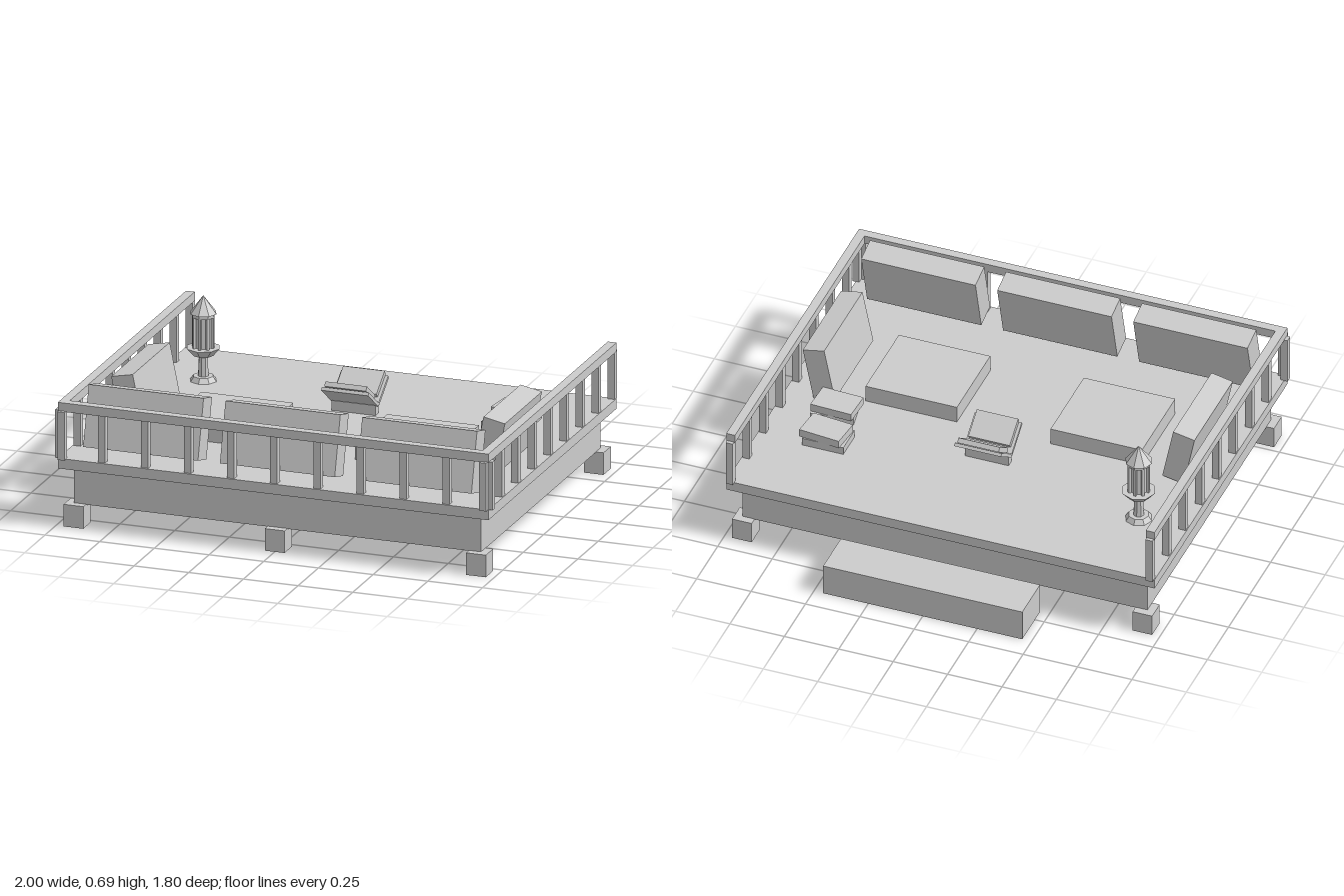
import * as THREE from 'three';

export function createModel() {
  const model = new THREE.Group();
  const grey = new THREE.MeshStandardMaterial({ color: 0xcccccc });
  grey.name = 'plain grey';

  function add(name, geometry, x, y, z, parent = model) {
    const mesh = new THREE.Mesh(geometry, grey);
    mesh.name = name;
    mesh.position.set(x, y, z);
    parent.add(mesh);
    return mesh;
  }
  const box = (name, w, h, d, x, y, z, parent) =>
    add(name, new THREE.BoxGeometry(w, h, d), x, y, z, parent);

  // Platform, overhanging deck and entry step at the back
  box('platform', 1.86, 0.17, 1.465, 0, 0.183, 0.0975);
  box('deck', 1.968, 0.046, 1.575, 0, 0.29, 0.0975);
  box('step', 0.915, 0.145, 0.21, 0, 0.0725, -0.795);

  // Stubby legs, three along the front and three along the back
  for (const x of [-0.92, 0, 0.92])
    for (const z of [0.82, -0.625]) box('leg', 0.09, 0.1, 0.09, x, 0.05, z);

  // Railing around the front and both sides
  const railing = new THREE.Group();
  railing.name = 'railing';
  model.add(railing);
  box('frontTopRail', 1.968, 0.04, 0.04, 0, 0.546, 0.865, railing);
  for (let i = 0; i <= 10; i++)
    box('frontBaluster', 0.032, 0.218, 0.032, -0.984 + i * 0.1968, 0.42, 0.861, railing);
  for (const s of [-1, 1]) {
    box('sideTopRail', 0.04, 0.04, 1.575, s * 0.964, 0.546, 0.0975, railing);
    for (let i = 0; i <= 8; i++)
      box('sideBaluster', 0.032, 0.218, 0.032, s * 0.964, 0.42, 0.885 - i * 0.1969, railing);
  }

  // Large cushions along the front rail, tops tipped inward
  for (const x of [-0.627, -0.002, 0.623])
    box('frontCushion', 0.525, 0.27, 0.107, x, 0.474, 0.742).rotation.x = -0.26;

  // Side cushions leaning outward, and square floor cushions
  for (const s of [-1, 1]) {
    box('sideCushion', 0.1, 0.25, 0.455, s * 0.826, 0.443, 0.2275).rotation.z = -s * 0.2;
    box('floorCushion', 0.42, 0.08, 0.395, s * 0.425, 0.351, 0.258);
  }

  // Two stacks of books: x, y, z, turn
  const books = [
    [0.68, 0.33, -0.265, 0], [0.69, 0.366, -0.265, -0.1],
    [0.725, 0.33, -0.07, 0.17], [0.715, 0.366, -0.072, -0.04],
  ];
  for (const [x, y, z, turn] of books)
    box('book', 0.19, 0.036, 0.135, x, y, z).rotation.y = turn;

  // Book stand: a V of two boards on a foot, holding an open book
  const stand = new THREE.Group();
  stand.name = 'bookStand';
  stand.position.set(-0.005, 0.313, -0.135);
  model.add(stand);
  box('standFoot', 0.2, 0.045, 0.035, 0, 0.0225, 0, stand);
  for (const s of [-1, 1]) {
    box('standBoard', 0.215, 0.015, 0.15, 0, 0.088, s * 0.062, stand).rotation.x = -s * 0.62;
    box('bookHalf', 0.19, 0.022, 0.125, 0, 0.116, s * 0.065, stand).rotation.x = -s * 0.62;
  }

  // Eight-sided lantern on a stem
  const lantern = new THREE.Group();
  lantern.name = 'lantern';
  lantern.position.set(-0.76, 0.313, -0.3);
  model.add(lantern);
  const prism = (name, top, bottom, y0, y1) => add(name,
    new THREE.CylinderGeometry(top, bottom, y1 - y0, 8).toNonIndexed(), 0, (y0 + y1) / 2, 0, lantern);
  const parts = [
    prism('lanternFoot', 0.045, 0.06, 0, 0.022),
    prism('lanternStem', 0.02, 0.024, 0.022, 0.115),
    prism('lanternTray', 0.075, 0.045, 0.115, 0.15),
    prism('lanternGlass', 0.037, 0.037, 0.15, 0.295),
    prism('lanternCollar', 0.05, 0.05, 0.288, 0.305),
    prism('lanternRoof', 0.002, 0.06, 0.305, 0.382),
  ];
  parts.forEach((p) => p.geometry.computeVertexNormals());
  for (let i = 0; i < 8; i++) {
    const a = (i * Math.PI) / 4;
    box('lanternPost', 0.012, 0.14, 0.012,
      Math.sin(a) * 0.043, 0.22, Math.cos(a) * 0.043, lantern).rotation.y = a;
  }

  return model;
}
